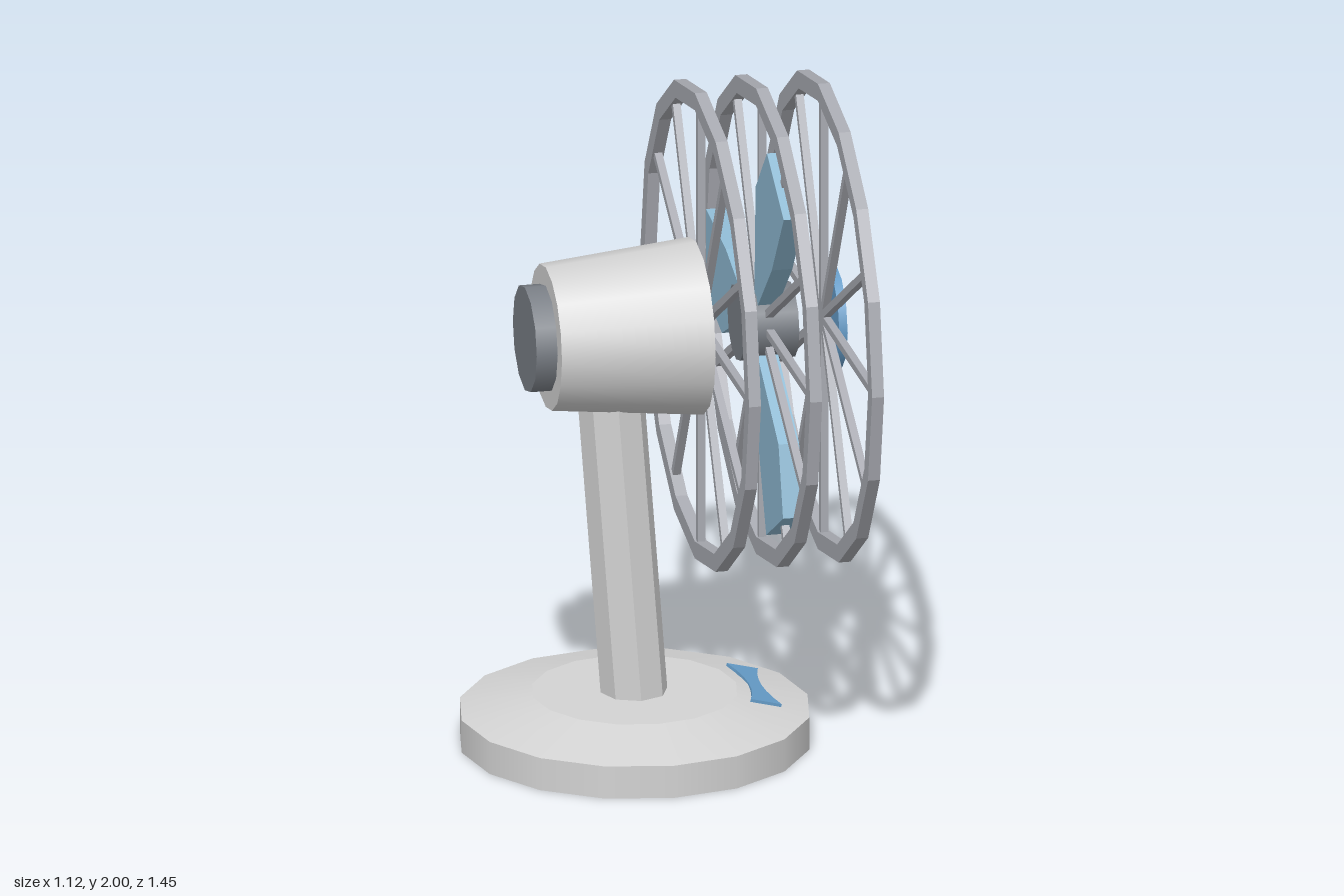
import * as THREE from 'three';

const mat = (name, color, flatShading = false) => {
  const m = new THREE.MeshStandardMaterial({ color, flatShading });
  m.name = name;
  return m;
};

export function createModel() {
  const body = mat('light grey', 0xd3d3d3);
  const wire = mat('cage grey', 0xa9abb2);
  const dark = mat('dark grey', 0x7a7f86);
  const blue = mat('blade blue', 0x8fbad3);
  const accent = mat('accent blue', 0x659cc8);

  const model = new THREE.Group();
  model.name = 'deskFan';
  const add = (parent, name, geometry, material) => {
    const mesh = new THREE.Mesh(geometry, material);
    mesh.name = name;
    parent.add(mesh);
    return mesh;
  };

  // Base: low drum with a sloped top
  const base = new THREE.Group();
  base.name = 'base';
  base.position.x = -0.045;
  model.add(base);
  add(base, 'baseDrum', new THREE.CylinderGeometry(0.52, 0.52, 0.1, 16), body).position.y = 0.05;
  add(base, 'baseSlope', new THREE.CylinderGeometry(0.305, 0.52, 0.055, 16), body).position.y = 0.1275;

  // Button: waisted plate lying on the slope of the base
  const b = new THREE.Shape();
  b.moveTo(-0.048, -0.16);
  b.quadraticCurveTo(0.01, 0, -0.048, 0.16);
  b.lineTo(0.048, 0.16);
  b.quadraticCurveTo(-0.004, 0, 0.048, -0.16);
  const buttonGeo = new THREE.ExtrudeGeometry(b, { depth: 0.009, bevelEnabled: false, curveSegments: 6 });
  buttonGeo.rotateX(-Math.PI / 2);
  const button = add(model, 'button', buttonGeo, accent);
  button.position.set(0.313, 0.137, 0);
  button.rotation.z = -0.25;

  // Stem: octagonal post leaning back
  const stemGeo = new THREE.CylinderGeometry(0.1, 0.1, 1.06, 8).toNonIndexed();
  stemGeo.computeVertexNormals();
  const stem = add(model, 'stem', stemGeo, body);
  stem.position.set(-0.085, 0.66, 0);
  stem.rotation.z = 0.075;

  // Head: built facing +z, then turned to face +x
  const head = new THREE.Group();
  head.name = 'head';
  head.position.y = 1.275;
  head.rotation.y = Math.PI / 2;
  model.add(head);

  // Round part along the axis, from z0 (radius r0) to z1 (radius r1)
  const drum = (name, r0, r1, z0, z1, sides, material) => {
    const g = new THREE.CylinderGeometry(r1, r0, z1 - z0, sides);
    g.rotateX(Math.PI / 2);
    add(head, name, g, material).position.z = (z0 + z1) / 2;
  };
  drum('motorHousing', 0.217, 0.262, -0.312, 0.14, 16, body);
  drum('rearCap', 0.16, 0.16, -0.375, -0.312, 12, dark);
  drum('bladeHub', 0.114, 0.114, 0.26, 0.425, 12, dark);
  drum('frontBadge', 0.16, 0.16, 0.535, 0.56, 12, accent);

  // Cage: three sixteen-sided rings with spokes
  const polygon = (Type, r, n) => new Type(Array.from({ length: n }, (_, i) =>
    new THREE.Vector2(r * Math.cos(i * 2 * Math.PI / n), r * Math.sin(i * 2 * Math.PI / n))));
  const rim = polygon(THREE.Shape, 0.725, 16);
  rim.holes.push(polygon(THREE.Path, 0.672, 16));
  const rimGeo = new THREE.ExtrudeGeometry(rim, { depth: 0.036, bevelEnabled: false });
  const spokeGeo = new THREE.BoxGeometry(1.35, 0.023, 0.023);
  for (const z of [0.136, 0.32, 0.506]) {
    const ring = new THREE.Group();
    ring.name = 'cageRing';
    ring.position.z = z;
    head.add(ring);
    add(ring, 'rim', rimGeo, wire);
    for (let i = 0; i < 6; i++) {
      const spoke = add(ring, 'spokePair', spokeGeo, wire);
      spoke.position.z = 0.018;
      spoke.rotation.z = i * Math.PI / 6;
    }
  }

  // Blades: three flat slabs around the hub
  const outline = [[0.09, 0.024], [0.35, 0.103], [0.614, 0.135], [0.614, -0.124], [0.402, -0.177], [0.09, -0.015]];
  const bladeGeo = new THREE.ExtrudeGeometry(
    new THREE.Shape(outline.map(([x, y]) => new THREE.Vector2(x, y))), { depth: 0.062, bevelEnabled: false });
  for (let i = 0; i < 3; i++) {
    const blade = add(head, 'blade', bladeGeo, blue);
    blade.position.z = 0.308;
    blade.rotation.z = i * 2 * Math.PI / 3;
  }
  return model;
}
